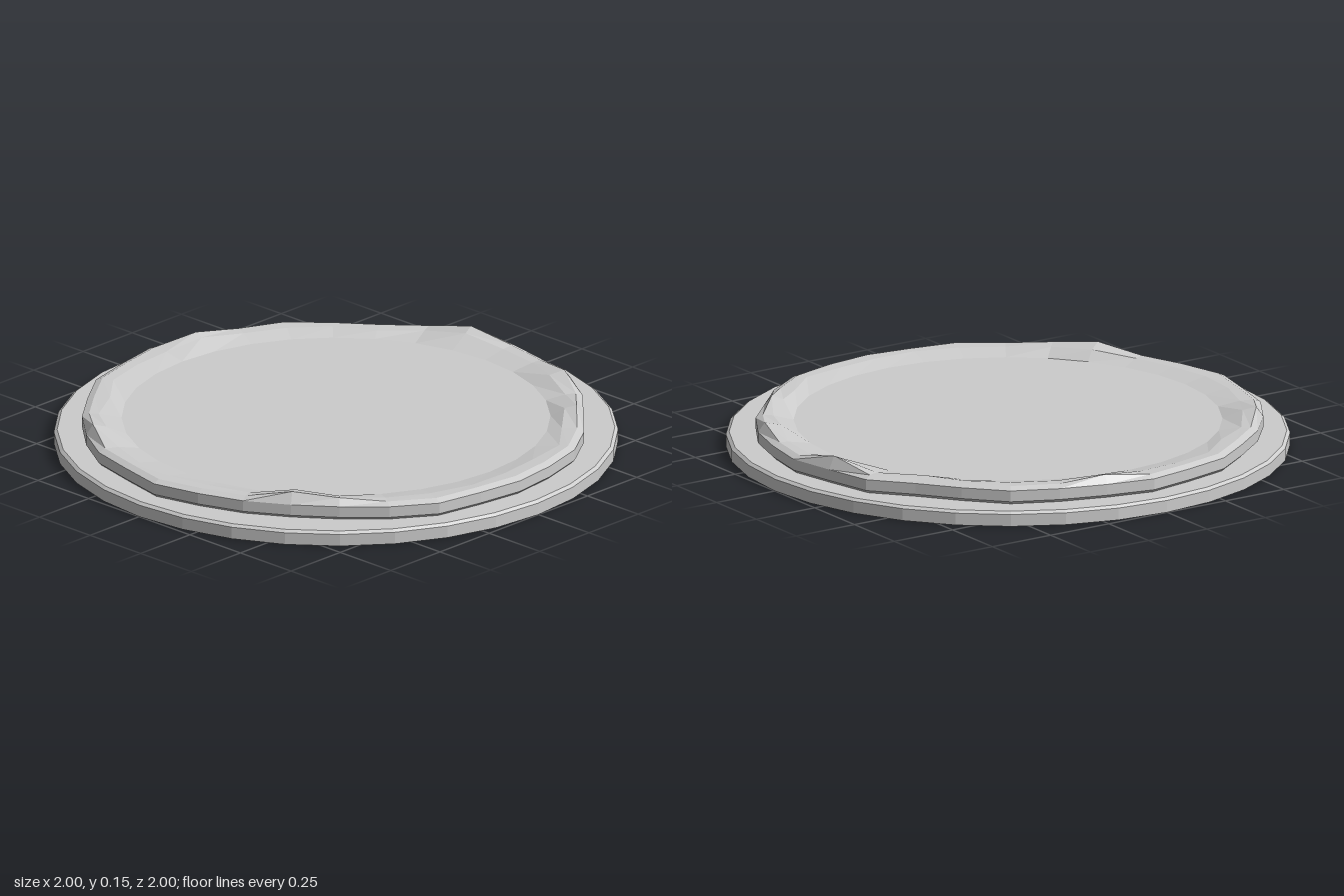
import * as THREE from 'three';

const SIDES = 32;
const material = new THREE.MeshStandardMaterial({ color: 0xcccccc, flatShading: true });

// Worn outline of the upper slab: one radius per side, from +x towards +z
const OUTLINE = [
  0.92, 0.905, 0.905, 0.894, 0.877, 0.894, 0.91, 0.905,
  0.91, 0.905, 0.925, 0.905, 0.885, 0.88, 0.89, 0.9,
  0.925, 0.905, 0.915, 0.905, 0.9, 0.895, 0.915, 0.905,
  0.92, 0.9, 0.9, 0.91, 0.885, 0.88, 0.92, 0.905,
];
// Raised chips on the rim: side index -> extra height
const CHIPS = { 2: 0.023, 4: 0.021, 12: 0.014, 13: 0.03, 19: 0.025, 25: 0.019, 31: 0.035 };

// Closed skin over stacked rings; each ring maps a side index to [radius, height]
function skinRings(rings, capHeight) {
  const positions = [], index = [];
  rings.forEach((ring) => {
    for (let k = 0; k < SIDES; k++) {
      const angle = (k / SIDES) * Math.PI * 2;
      const [r, y] = ring(k);
      positions.push(r * Math.cos(angle), y, r * Math.sin(angle));
    }
  });
  for (let i = 0; i < rings.length - 1; i++) {
    for (let k = 0; k < SIDES; k++) {
      const n = (k + 1) % SIDES;
      const a = i * SIDES + k, b = i * SIDES + n;
      index.push(a, a + SIDES, b, b, a + SIDES, b + SIDES);
    }
  }
  // Flat cap over the last ring
  const last = (rings.length - 1) * SIDES, centre = rings.length * SIDES;
  positions.push(0, capHeight, 0);
  for (let k = 0; k < SIDES; k++) index.push(last + k, centre, last + ((k + 1) % SIDES));
  const geometry = new THREE.BufferGeometry();
  geometry.setAttribute('position', new THREE.Float32BufferAttribute(positions, 3));
  geometry.setIndex(index);
  geometry.computeVertexNormals();
  return geometry;
}

export function createModel() {
  const group = new THREE.Group();
  group.name = 'stoneDisc';
  const add = (name, geometry, y = 0) => {
    const mesh = new THREE.Mesh(geometry, material);
    mesh.name = name;
    mesh.position.y = y;
    group.add(mesh);
  };

  // Round base with a narrow top bevel
  add('base', skinRings([() => [1, 0], () => [1, 0.044], () => [0.988, 0.053]], 0.053));
  const underside = new THREE.CircleGeometry(1, SIDES).rotateX(Math.PI / 2);
  add('baseUnderside', underside);

  // Upper slab: bevelled sides, chipped rim and a shallow dish
  const chip = (k) => CHIPS[k] ?? 0;
  const wobble = (k) => 0.012 * Math.sin(k * 2.3);
  add('upperSlab', skinRings([
    (k) => [OUTLINE[k] - 0.015, 0.05],
    (k) => [OUTLINE[k], 0.064],
    (k) => [OUTLINE[k], 0.104],
    (k) => [OUTLINE[k] - 0.025, 0.115 + chip(k)],
    (k) => [OUTLINE[k] - 0.07 + wobble(k), 0.113 + chip(k) * 0.6],
    () => [0.76, 0.097],
  ], 0.097));

  return group;
}
